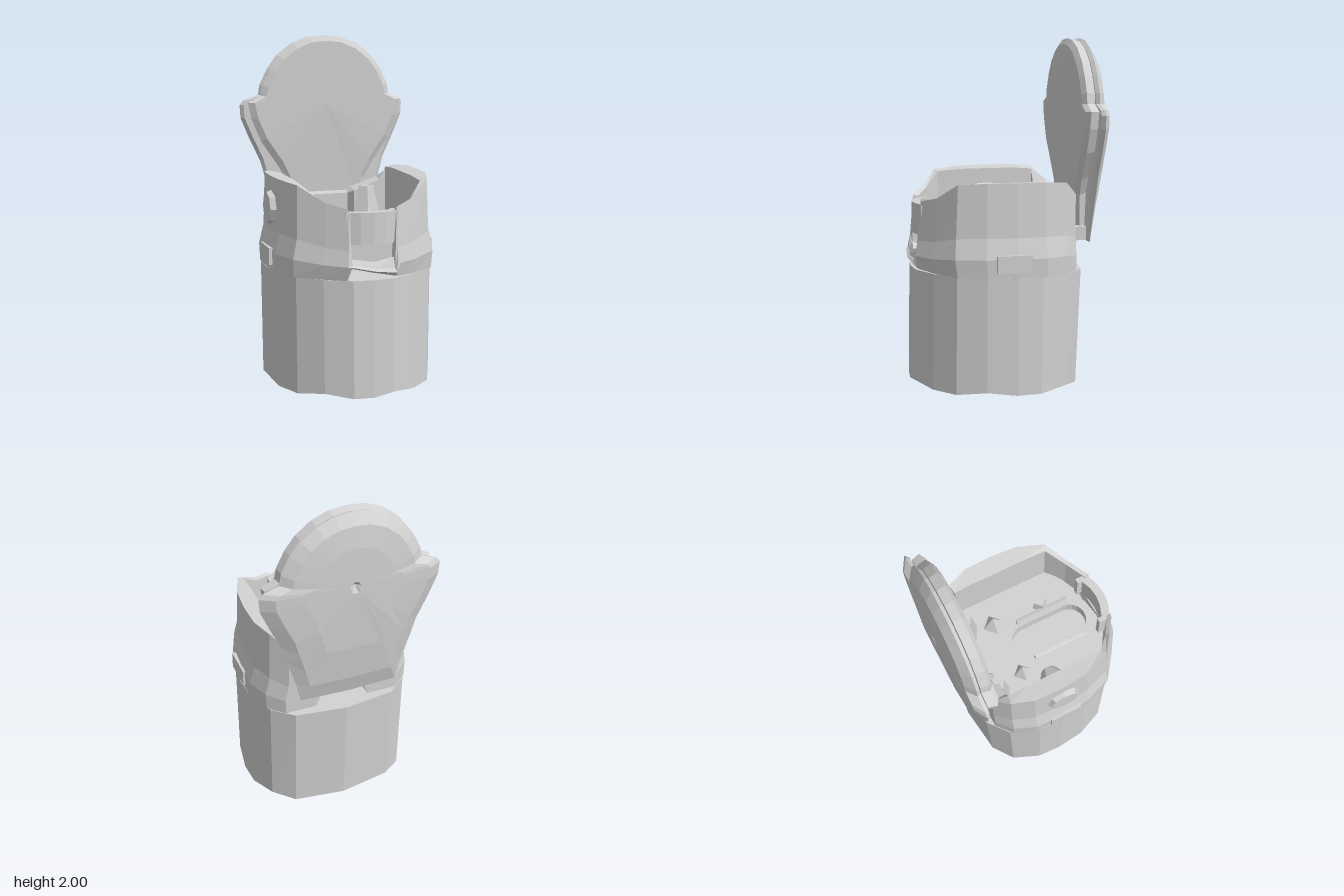
import * as THREE from 'three';

const grey = new THREE.MeshStandardMaterial({ color: 0xd2d2d2, flatShading: true });
grey.name = 'plain grey';

// Skin a stack of rings; options close each end to a centre point, or join last ring to first
function loft(rings, { start, end, loop } = {}) {
  const pos = [];
  const tri = (...pts) => pts.forEach((p) => pos.push(...p));
  const n = rings[0].length;
  const skins = loop ? rings.length : rings.length - 1;
  for (let r = 0; r < skins; r++) {
    const lo = rings[r], hi = rings[(r + 1) % rings.length];
    for (let i = 0; i < n; i++) {
      const j = (i + 1) % n;
      tri(lo[i], lo[j], hi[j]);
      tri(lo[i], hi[j], hi[i]);
    }
  }
  const last = rings[rings.length - 1];
  for (let i = 0; i < n; i++) {
    const j = (i + 1) % n;
    if (start) tri(start, rings[0][j], rings[0][i]);
    if (end) tri(end, last[i], last[j]);
  }
  const geo = new THREE.BufferGeometry();
  geo.setAttribute('position', new THREE.Float32BufferAttribute(pos, 3));
  geo.computeVertexNormals();
  return geo;
}

// Mirror a half outline whose first and last points lie on x = 0
function mirror(half) {
  const other = half.slice(1, -1).reverse().map(([x, ...rest]) => [-x, ...rest]);
  return [...half, ...other];
}

const clamp = THREE.MathUtils.clamp;

export function createModel() {
  const model = new THREE.Group();
  const add = (name, geo, x = 0, y = 0, z = 0) => {
    const mesh = new THREE.Mesh(geo, grey);
    mesh.name = name;
    mesh.position.set(x, y, z);
    model.add(mesh);
    return mesh;
  };
  const box = (name, w, h, d, x, y, z) => add(name, new THREE.BoxGeometry(w, h, d), x, y, z);

  // Lower drum, with a slightly hollow, uneven underside
  const drum = mirror([[0, 0.53], [0.12, 0.52], [0.27, 0.44], [0.4, 0.33], [0.47, 0.17],
    [0.495, 0], [0.485, -0.15], [0.42, -0.32], [0.3, -0.42], [0, -0.46]]);
  const foot = drum.map(([x, z], i) => [x * 0.99, i % 3 === 1 ? 0.02 : 0, z < 0 ? z * 0.94 : z * 1.02]);
  add('lowerDrum', loft([
    foot.map(([x, , z], i) => [x * 0.6, i % 2 ? 0.06 : 0.03, z * 0.6]),
    foot.map(([x, , z]) => [x * 0.88, 0.04, z * 0.88]),
    foot,
    drum.map(([x, z]) => [x, 0.68, z]),
  ], { start: [0, 0.05, 0.03], end: [0, 0.68, 0] }));

  // Upper shell: x, z, top height, bottom height; the front and rear are cut low
  const shell = mirror([[0, 0.53, 0.78, 0.72], [0.13, 0.515, 0.8, 0.71], [0.15, 0.505, 1.08, 0.68],
    [0.27, 0.43, 1.11, 0.68], [0.41, 0.33, 1.2, 0.68], [0.47, 0.17, 1.21, 0.68], [0.485, 0, 1.21, 0.68],
    [0.48, -0.17, 1.21, 0.68], [0.43, -0.3, 1.2, 0.68], [0.34, -0.38, 1.12, 0.68],
    [0.16, -0.39, 1.06, 0.69], [0.13, -0.39, 1.04, 0.76], [0, -0.39, 1.04, 0.76]]);
  // The opening under the front slants down towards the left
  shell.forEach((p) => {
    if (p[1] > 0.5 && p[0] > -0.14) p[3] = 0.75 - (p[0] + 0.13) * 0.22;
  });
  const shellRing = (scale, height, front = scale) => shell.map(([x, z, top, low]) =>
    [x * scale, height(top, low), z > 0 ? z * front : z]);
  // Straight inner walls; the rear wall is thinner across the middle
  const innerRing = (height) => shell.map(([x, z, top, low]) =>
    [clamp(x * 0.92, -0.35, 0.35), height(top, low), clamp(z, Math.abs(x) < 0.15 ? -0.34 : -0.29, 1) * (z > 0 ? 0.92 : 1)]);
  add('upperShell', loft([
    shellRing(1.01, (top, low) => low, 1),
    shellRing(1.02, (top, low) => low + (top - low) * 0.2, 1.04),
    shellRing(0.96, (top, low) => low + (top - low) * 0.42, 1.01),
    shellRing(0.94, (top) => top, 0.97),
    innerRing((top) => top - 0.01),
    innerRing((top, low) => low + 0.02),
  ], { loop: true }));

  // Deck inside the shell, with a long oval well
  const deckShape = new THREE.Shape(shell.map(([x, z]) =>
    new THREE.Vector2(clamp(x * 0.95, -0.38, 0.38), -clamp(z * 0.88, -0.34, 0.43))));
  const well = new THREE.Path();
  well.absarc(0, -0.3, 0.1, Math.PI, Math.PI * 2);
  well.absarc(0, -0.02, 0.1, 0, Math.PI);
  deckShape.holes.push(well);
  const deckGeo = new THREE.ExtrudeGeometry(deckShape, { depth: 0.11, bevelEnabled: false, curveSegments: 5 });
  deckGeo.rotateX(-Math.PI / 2);
  add('deck', deckGeo, 0, 0.76, 0);
  box('wellFloor', 0.24, 0.02, 0.52, 0, 0.78, 0.16);

  for (const s of [-1, 1]) {
    // Raised lips along the well
    const lip = box('wellLip', 0.02, 0.06, 0.34, s * 0.12, 0.88, 0.17);
    lip.rotation.z = s * -0.3;
    // Hinge blocks in the rear corners
    const block = add('hingeBlock', new THREE.CylinderGeometry(0.05, 0.1, 0.22, 5), s * 0.22, 0.97, -0.29);
    block.scale.z = 0.7;
    // Side catch set into the bottom of the shell
    box('sideCatch', 0.03, 0.1, 0.2, s * 0.487, 0.76, 0.02);
    // Bracket ends of the front bridge
    box('bridgeEnd', 0.03, 0.18, 0.08, s * 0.14, 0.97, 0.45);
  }
  add('deckPost', new THREE.ConeGeometry(0.06, 0.12, 4), -0.17, 0.92, -0.11);
  add('deckPost', new THREE.CylinderGeometry(0.04, 0.05, 0.08, 4), 0.17, 0.9, 0.18);
  add('deckPost', new THREE.ConeGeometry(0.07, 0.12, 4), 0.18, 0.92, -0.13);

  // Curved bridge across the front opening
  const arc = new THREE.Shape();
  arc.moveTo(-0.15, 0.48);
  arc.quadraticCurveTo(0, 0.56, 0.15, 0.48);
  arc.lineTo(0.12, 0.44);
  arc.quadraticCurveTo(0, 0.5, -0.12, 0.44);
  const bridge = new THREE.ExtrudeGeometry(arc, { depth: 0.18, bevelEnabled: false, curveSegments: 4 });
  bridge.rotateX(Math.PI / 2);
  add('frontBridge', bridge, 0, 1.06, 0);

  // Round knob through the right wall
  const knob = add('sideKnob', new THREE.CylinderGeometry(0.11, 0.09, 0.05, 8), -0.46, 1.03, 0.01);
  knob.rotation.z = -Math.PI / 2;
  const stub = add('knobStub', new THREE.CylinderGeometry(0.04, 0.11, 0.1, 6), -0.31, 1.02, 0.01);
  stub.rotation.z = -Math.PI / 2;

  // Raised lid: each plate is an outline shrunk towards its hub at several depths, thinning downwards
  const hub = 1.58;
  const plate = (name, outline, steps, start, end) => {
    const rings = steps.map(([scale, z]) => outline.map(([x, py]) => {
      const y = hub + (py - hub) * scale;
      return [x * scale, y, z + (-0.46 - z) * Math.max(0, 1.3 - y)];
    }));
    return add(name, loft(rings, { start: [0, hub, start], end: [0, hub, end] }));
  };
  const crown = [[0.41, 1.64], [0.4, 1.7], [0.35, 1.8], [0.29, 1.88], [0.2, 1.95], [0.1, 1.99], [0, 2]];
  const innerLid = mirror([[0, 0.9], [0.23, 0.9], [0.25, 1.1], [0.3, 1.2], [0.41, 1.36], [0.47, 1.5],
    [0.49, 1.6], ...crown]);
  plate('innerLid', innerLid, [[0.97, -0.465], [1, -0.415], [0.92, -0.392]], -0.465, -0.39);
  const outerLid = mirror([[0, 0.82], [0.29, 0.83], [0.32, 0.96], [0.37, 1.12], [0.4, 1.23], [0.47, 1.38],
    [0.52, 1.5], [0.525, 1.58], [0.5, 1.61], ...crown]);
  plate('outerLid', outerLid,
    [[0.06, -0.555], [0.55, -0.55], [0.85, -0.535], [1, -0.49], [0.96, -0.47]], -0.53, -0.47);

  // Hinge bars joining lid and shell
  for (const s of [-1, 1]) box('hingeBar', 0.06, 0.08, 0.08, s * 0.24, 0.88, -0.42);
  return model;
}
